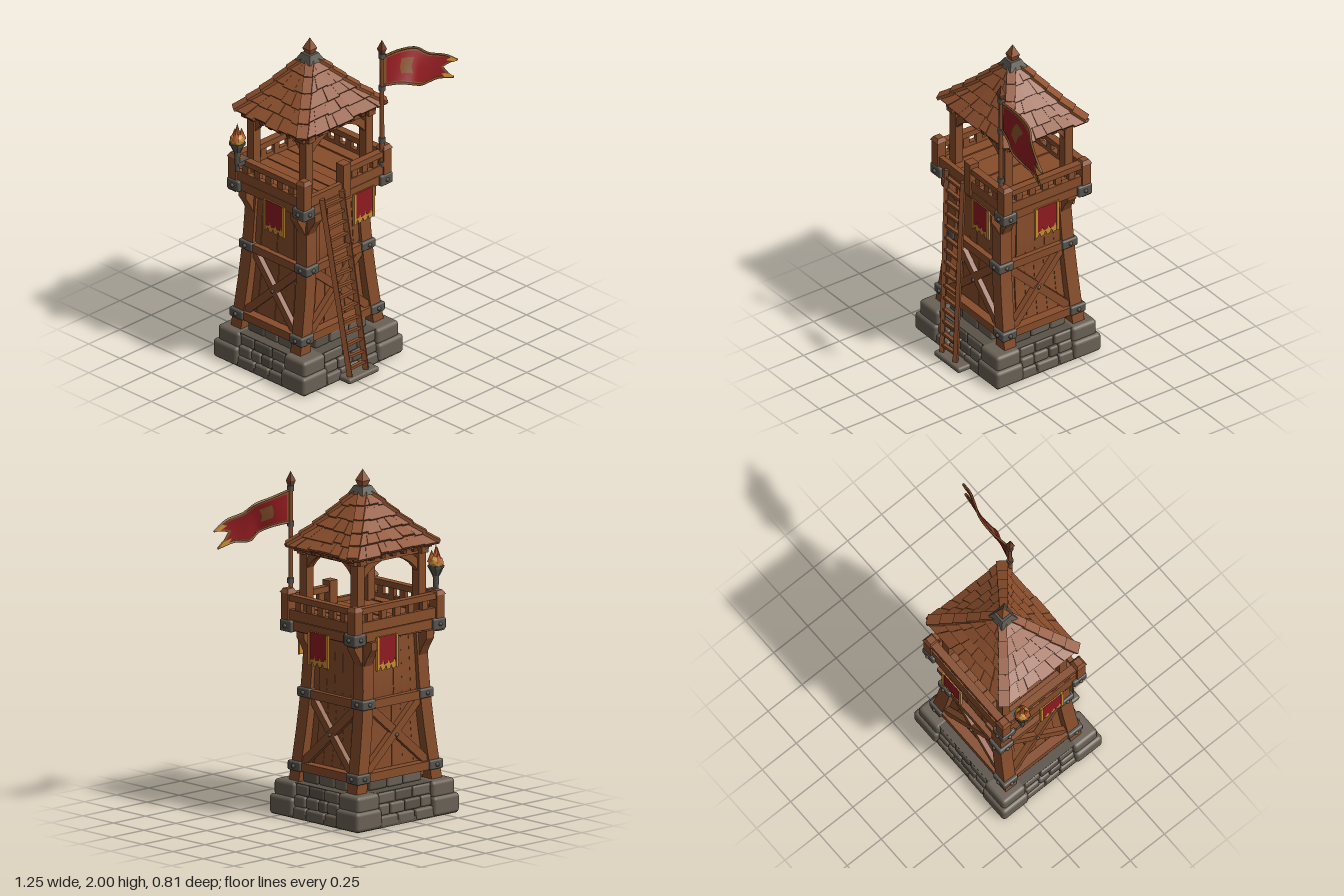
import * as THREE from 'three';
import { RoundedBoxGeometry } from 'three/addons/geometries/RoundedBoxGeometry.js';

const V = (x, y, z) => new THREE.Vector3(x, y, z);
const lerp = THREE.MathUtils.lerp;
const paint = (name, color, side = THREE.FrontSide) => {
  const m = new THREE.MeshStandardMaterial({ color, side });
  m.name = name;
  return m;
};

export function createModel() {
  const wood = paint('wood', 0x874d2b), darkWood = paint('dark wood', 0x6f3c21), roofWood = paint('roof wood', 0x8e502e);
  const stone = paint('stone', 0x6a6155), darkStone = paint('dark stone', 0x5a5248), iron = paint('iron', 0x57544d);
  const red = paint('red cloth', 0x8f1b20, THREE.DoubleSide), gold = paint('gold', 0xc88c34, THREE.DoubleSide);
  const trim = paint('cloth trim', 0x825029, THREE.DoubleSide), flame = paint('flame', 0xb45a2a);

  let seed = 7;
  const rnd = (a, b) => {
    seed = (seed * 16807) % 2147483647;
    return a + (b - a) * seed / 2147483647;
  };
  const root = new THREE.Group();
  root.name = 'watchtower';
  const group = (name, x = 0, y = 0, z = 0, parent = root) => {
    const g = new THREE.Group();
    g.name = name;
    g.position.set(x, y, z);
    parent.add(g);
    return g;
  };
  const add = (p, name, geo, mat, x = 0, y = 0, z = 0) => {
    const m = new THREE.Mesh(geo, mat);
    m.name = name;
    m.position.set(x, y, z);
    p.add(m);
    return m;
  };
  const box = (p, name, mat, w, h, d, x, y, z) => add(p, name, new THREE.BoxGeometry(w, h, d), mat, x, y, z);
  const block = (p, name, mat, w, h, d, x, y, z, r = 0.014) => add(p, name, new RoundedBoxGeometry(w, h, d, 2, r), mat, x, y, z);
  // Beam from a to b: wide is its horizontal breadth, deep the other one
  const beam = (p, name, mat, a, b, wide, deep) => {
    const dir = b.clone().sub(a), len = dir.length(), y = dir.normalize();
    const x = y.clone().cross(V(0, 1, 0)).normalize(), z = x.clone().cross(y);
    const m = box(p, name, mat, wide, len, deep, 0, 0, 0);
    m.quaternion.setFromRotationMatrix(new THREE.Matrix4().makeBasis(x, y, z));
    m.position.copy(a).add(b).multiplyScalar(0.5);
  };
  const warp = (geo, fn) => {
    const a = geo.attributes.position;
    for (let i = 0; i < a.count; i++) {
      const q = fn(a.getX(i), a.getY(i), a.getZ(i));
      a.setXYZ(i, q.x, q.y, q.z);
    }
    geo.computeVertexNormals();
    return geo;
  };
  const faceted = (geo) => {
    const g = geo.toNonIndexed();
    g.computeVertexNormals();
    return g;
  };
  // Four turned side groups: local x runs along the side, z points out (0 front, 1 +x, 2 back, 3 -x)
  const eachSide = (p, name, fn) => {
    for (let k = 0; k < 4; k++) {
      const g = group(name, 0, 0, 0, p);
      g.rotation.y = k * Math.PI / 2;
      fn(g, k, (a, b) => (k % 2 ? [b, a] : [a, b]));
    }
  };
  const corners = (fn) => [-1, 1].forEach((sx) => [-1, 1].forEach((sz) => fn(sx, sz)));
  const along = (keys, y) => {
    let i = 0;
    while (i < keys.length - 2 && y > keys[i + 1][0]) i++;
    const [a, b] = [keys[i], keys[i + 1]];
    return lerp(a[1], b[1], (y - a[0]) / (b[0] - a[0]));
  };

  // Stone base
  const base = group('stoneBase', -0.21, 0, -0.035);
  box(base, 'baseFoot', darkStone, 0.775, 0.03, 0.705, 0, 0.015, 0);
  box(base, 'baseCore', darkStone, 0.72, 0.2, 0.65, 0, 0.1, 0);
  corners((sx, sz) => {
    block(base, 'cornerStone', stone, 0.2, 0.115, 0.19, sx * 0.302, 0.0575, sz * 0.27, 0.022);
    block(base, 'cornerStone', stone, 0.175, 0.1, 0.17, sx * 0.293, 0.152, sz * 0.263, 0.022);
  });
  eachSide(base, 'baseWall', (g, k, pick) => {
    const [w, d] = pick(0.205, 0.18), out = pick(0.365, 0.4)[0];
    for (let r = 0; r < 4; r++) {
      const n = r === 3 ? 3 : 3 + (r % 2);
      let x = -w;
      for (let i = 0; i < n; i++) {
        const next = i === n - 1 ? w : -w + (2 * w * (i + 1)) / n + rnd(-0.02, 0.02);
        const bw = next - x, o = (r === 3 ? pick(0.26, 0.31)[0] : out - 0.01 - r * 0.01) + rnd(-0.004, 0.004);
        block(g, 'wallStone', (i + r) % 4 === 3 ? darkStone : stone, bw - 0.003, 0.066, 0.1, x + bw / 2, 0.033 + r * 0.066, o - 0.05);
        x = next;
      }
    }
  });
  block(root, 'stepStone', stone, 0.24, 0.035, 0.12, -0.2, 0.0175, 0.345);

  // Flared tower: planked walls, legs, braces and iron corner bands
  const tower = group('tower', -0.207, 0, -0.047);
  const hx = (y) => along([[0.2, 0.333], [0.45, 0.293], [0.7, 0.262], [1.06, 0.247]], y);
  const hz = (y) => along([[0.2, 0.278], [0.7, 0.258], [1.06, 0.24]], y);
  const recess = (y) => along([[0.2, 0.07], [0.66, 0.058], [0.72, 0.034], [1.06, 0.03]], y);
  corners((sx, sz) => add(tower, 'leg', warp(new THREE.BoxGeometry(1, 1, 1, 1, 6, 1), (u, v, w) => {
    const y = 0.635 + v * 0.88;
    return V(sx * (hx(y) - 0.04) + u * 0.08, y, sz * (hz(y) - 0.04) + w * 0.08);
  }), wood));
  add(tower, 'innerWall', warp(new THREE.BoxGeometry(1, 1, 1, 1, 6, 1), (u, v, w) => {
    const y = 0.635 + v * 0.88, r = recess(y) + 0.012;
    return V(2 * u * (hx(y) - r), y, 2 * w * (hz(y) - r));
  }), darkWood);
  eachSide(tower, 'towerSide', (g, k, pick) => {
    const [W, D] = pick(hx, hz);
    for (let i = 0; i < 6; i++) {
      const o = rnd(-0.004, 0.004);
      add(g, 'wallPlank', warp(new THREE.BoxGeometry(1, 1, 1, 1, 8, 1), (u, v, w) => {
        const y = 0.647 + v * 0.856;
        return V((-1 + (i + 0.5 + u * 0.975) / 3) * (W(y) - 0.06), y, D(y) - recess(y) + o + w * 0.024);
      }), wood);
    }
    for (const y of [0.285, 0.7]) box(g, 'crossBeam', wood, 2 * W(y) - 0.06, 0.05, 0.055, 0, y, D(y) - 0.024);
    for (const s of [-1, 1]) {
      beam(g, 'diagonalBrace', wood, V(-s * (W(0.3) - 0.08), 0.31, D(0.31) - 0.028), V(s * (W(0.7) - 0.07), 0.68, D(0.68) - 0.028), s > 0 ? 0.036 : 0.03, 0.048);
      // Knees flaring out under the platform
      const e = D(1), knee = new THREE.Shape([[e - 0.04, 0.9], [e, 0.92], [e + 0.03, 0.98], [e + 0.062, 1.03], [e + 0.062, 1.075], [e - 0.04, 1.075]].map(([a, b]) => new THREE.Vector2(a, b)));
      add(g, 'knee', new THREE.ExtrudeGeometry(knee, { depth: 0.06, bevelEnabled: false }).rotateY(-Math.PI / 2), wood, s * (W(1) - 0.035) + 0.03, 0, 0);
    }
    add(g, 'braceBolt', new THREE.SphereGeometry(0.012, 8, 6), iron, 0, 0.495, D(0.495) - 0.01);
  });
  const ironCorner = (p, x, y, z, sx, sz, s, h) => {
    const g = group('ironCorner', x, y, z, p);
    block(g, 'ironBand', iron, s, h, s, 0, 0, 0, 0.01);
    add(g, 'bolt', new THREE.SphereGeometry(0.013, 8, 6), iron, 0, 0, sz * s / 2);
    add(g, 'bolt', new THREE.SphereGeometry(0.013, 8, 6), iron, sx * s / 2, 0, 0);
  };
  corners((sx, sz) => {
    for (const y of [0.285, 0.705]) ironCorner(tower, sx * (hx(y) - 0.036), y, sz * (hz(y) - 0.036), sx, sz, 0.104, 0.056);
  });

  // Lookout platform with railing
  const top = group('lookout', -0.19, 0, -0.043);
  for (let i = 0; i < 8; i++) box(top, 'floorPlank', wood, 0.077, 0.105, 0.54, -0.28 + i * 0.08, 1.118 + rnd(-0.004, 0.004), 0);
  box(top, 'subfloor', darkWood, 0.62, 0.08, 0.53, 0, 1.115, 0);
  corners((sx, sz) => {
    const drop = sz < 0 ? 0.02 : 0;
    box(top, 'railPost', wood, 0.06, 0.21, 0.06, sx * 0.32, 1.185 - drop, sz * 0.274);
    add(top, 'postCap', faceted(new THREE.CylinderGeometry(0.03, 0.05, 0.025, 4).rotateY(Math.PI / 4)), wood, sx * 0.32, 1.3 - drop, sz * 0.274);
    ironCorner(top, sx * 0.31, 1.1, sz * 0.262, sx, sz, 0.096, 0.068);
    box(top, 'roofPost', wood, 0.055, 0.45, 0.055, sx * 0.24, 1.325, sz * 0.209);
  });
  eachSide(top, 'railing', (g, k, pick) => {
    const [w, d] = pick(0.32, 0.274);
    box(g, 'sideBoard', wood, 2 * w, 0.055, 0.035, 0, 1.105, d);
    box(g, 'sideBoard', wood, 2 * w, 0.06, 0.03, 0, 1.166, d + 0.004);
    const x0 = k === 0 ? -0.01 : -w;
    box(g, 'handRail', wood, w - x0, 0.035, 0.045, (w + x0) / 2, 1.263, d);
    const n = k === 0 ? 3 : 5;
    for (let i = 1; i <= n; i++) box(g, 'baluster', wood, 0.042, 0.07, 0.025, lerp(x0, w, i / (n + 1)), 1.215, d);
    if (k === 0) box(g, 'middlePost', wood, 0.06, 0.21, 0.06, -0.005, 1.205, d);

    // Roof beams and curved braces
    const [rw, rd] = pick(0.24, 0.209), reach = k % 2 ? 0.13 : 0.2;
    box(g, 'roofBeam', wood, 2 * rw + 0.1, 0.05, 0.05, 0, 1.54, rd);
    for (const s of [-1, 1]) {
      const a = new THREE.Shape();
      a.moveTo(-rw, 1.36);
      a.quadraticCurveTo(-rw + reach * 0.2, 1.48, -rw + reach, 1.52);
      a.lineTo(-rw + reach * 0.5, 1.53);
      a.quadraticCurveTo(-rw + reach * 0.15, 1.5, -rw, 1.44);
      const m = add(g, 'curvedBrace', new THREE.ExtrudeGeometry(a, { depth: 0.035, bevelEnabled: false, curveSegments: 6 }).translate(0, 0, -0.0175), wood, 0, 0, rd);
      if (s > 0) m.rotation.y = Math.PI;
    }
    for (let i = -3; i <= 3; i++) box(g, 'rafterEnd', darkWood, 0.03, 0.035, 0.12, (i * w) / 3.8, 1.553, pick(0.25, 0.31)[0] - 0.05);
  });

  // Shingled roof
  const slope = [[0, 1.556], [0.5, 1.694], [1, 1.86]];
  const rx = (t) => lerp(0.333, 0.03, t), rz = (t) => lerp(0.268, 0.03, t), ry = (t) => along(slope, t);
  const roof = group('roof', -0.184, 0, -0.049);
  add(roof, 'roofCore', warp(new THREE.BoxGeometry(1, 1, 1, 1, 8, 1), (u, v, w) => {
    const t = v + 0.5;
    return V(2 * u * (rx(t) - 0.012), ry(t) - 0.004, 2 * w * (rz(t) - 0.012));
  }), darkWood);
  eachSide(roof, 'roofSide', (g, k, pick) => {
    const [W, D] = pick(rx, rz);
    const rows = 5;
    for (let r = 0; r < rows; r++) {
      const n = Math.max(2, 7 - r - (k % 2));
      const cuts = [...Array(n + 1).keys()].map((i) => (i % n === 0 ? (i ? 1 : -1) : -1 + (2 * i) / n + rnd(-0.06, 0.06)));
      for (let i = 0; i < n; i++) {
        const low = r / rows + rnd(-0.03, 0.015), high = Math.min(1, (r + 1) / rows + 0.05), lift = rnd(0.01, 0.018);
        add(g, 'shingle', warp(new THREE.BoxGeometry(1, 1, 1), (u, v, w) => {
          const t = lerp(low, high, v + 0.5), off = lift * (0.5 - v) + w * 0.02;
          return V(lerp(cuts[i] + 0.004, cuts[i + 1] - 0.004, u + 0.5) * W(t), ry(t) + off * 0.75, D(t) + off * 0.6);
        }), roofWood);
      }
    }
  });
  corners((sx, sz) => {
    for (let i = 0; i < 5; i++) {
      const a = i / 5 - 0.02, b = Math.min(1, a + 0.25), at = (t, o) => V(sx * rx(t), ry(t) + o, sz * rz(t));
      beam(roof, 'hipBoard', roofWood, at(a, 0.024), at(b, 0.01), 0.066 - i * 0.004, 0.018);
    }
  });
  add(roof, 'roofCap', faceted(new THREE.CylinderGeometry(0.05, 0.084, 0.046, 4).rotateY(Math.PI / 4)), iron, 0, 1.882, 0);
  const spike = (p, name, r, h, mat, x, y, z) => add(p, name, faceted(new THREE.LatheGeometry(
    [[0, 0], [r * 0.6, 0], [r, h * 0.35], [0, h]].map(([a, b]) => new THREE.Vector2(a, b)), 4).rotateY(Math.PI / 4)), mat, x, y, z);
  spike(roof, 'finial', 0.042, 0.1, roofWood, 0, 1.9, 0);

  // Ladder
  const ladder = group('ladder');
  const foot = [V(-0.285, 0.035, 0.37), V(-0.155, 0.035, 0.37)], head = [V(-0.395, 1.16, 0.258), V(-0.237, 1.16, 0.258)];
  for (const i of [0, 1]) beam(ladder, 'ladderRail', wood, foot[i], head[i], 0.026, 0.03);
  for (let i = 0; i < 15; i++) {
    const [a, b] = [0, 1].map((j) => foot[j].clone().lerp(head[j], (i + 0.6) / 15.2));
    b.y += rnd(-0.006, 0.006);
    beam(ladder, 'rung', wood, a, b, 0.022, 0.016);
  }

  // Hanging banners, one on each side
  const cloth = (w, y1, y0, teeth) => {
    const s = new THREE.Shape();
    s.moveTo(-w, y1);
    for (let i = 0; i < teeth; i++) {
      const x = -w + (2 * w * i) / teeth, q = (2 * w) / teeth;
      s.lineTo(x, y0);
      s.lineTo(x + q * 0.55, y0 + 0.005);
      s.lineTo(x + q * 0.75, y0 + 0.028);
    }
    s.lineTo(w, y0);
    s.lineTo(w, y1);
    return s;
  };
  const plate = (s, t) => new THREE.ExtrudeGeometry(s, { depth: t, bevelEnabled: false }).translate(0, 0, -t / 2);
  eachSide(top, 'banner', (g, k, pick) => {
    const x = [0.128, 0, -0.1, 0.06][k], z = pick(0.304, 0.344)[0];
    add(g, 'bannerTrim', plate(cloth(0.083, 1.1, 0.9, 4), 0.005), gold, x, 0, z);
    add(g, 'bannerCloth', plate(cloth(0.066, 1.098, 0.935, 3), 0.009), red, x, 0, z);
    for (const s of [-1, 1]) box(g, 'bannerHem', gold, 0.016, 0.19, 0.014, x + s * 0.075, 1.0, z);
  });

  // Flagpole and waving swallow-tailed flag
  const flag = group('flag');
  add(flag, 'pole', new THREE.CylinderGeometry(0.012, 0.014, 0.74, 8), wood, 0.103, 1.55, 0.24);
  for (const y of [1.2, 1.35, 1.68, 1.885]) add(flag, 'poleRing', new THREE.CylinderGeometry(0.02, 0.02, 0.03, 8), iron, 0.103, y, 0.24);
  spike(flag, 'poleTip', 0.028, 0.085, darkWood, 0.103, 1.9, 0.24);
  const upper = new THREE.CatmullRomCurve3([V(0.118, 1.875, 0.24), V(0.27, 1.857, 0.225), V(0.38, 1.835, 0.24), V(0.44, 1.79, 0.27), V(0.54, 1.755, 0.31), V(0.62, 1.7, 0.325)]);
  const lower = new THREE.CatmullRomCurve3([V(0.118, 1.69, 0.24), V(0.22, 1.678, 0.27), V(0.3, 1.652, 0.3), V(0.38, 1.617, 0.285), V(0.485, 1.625, 0.3), V(0.595, 1.6, 0.32)]);
  const patch = (name, mat, u0, u1, v0, v1, o) => add(flag, name, warp(new THREE.PlaneGeometry(1, 1, 20, 8), (x, y) => {
    const v = lerp(v0, v1, 0.5 - y), notch = 0.17 * (1 - Math.abs(2 * v - 1));
    const u = lerp(u0, u1, x + 0.5) * (1 - notch);
    return upper.getPoint(u).lerp(lower.getPoint(u), v).add(V(0, 0, o));
  }), mat);
  patch('flagTrim', trim, 0, 1, 0, 1, 0);
  for (const c of [upper, lower]) add(flag, 'flagHem', new THREE.TubeGeometry(c, 24, 0.007, 5), trim);
  for (const o of [-1, 1]) {
    patch('flagCloth', red, 0.03, 0.95, 0.08, 0.92, o * 0.004);
    patch('flagPatch', trim, 0.22, 0.4, 0.25, 0.7, o * 0.007);
    patch('flagTip', gold, 0.88, 1, 0, 0.2, o * 0.007);
    patch('flagTip', gold, 0.88, 1, 0.8, 1, o * 0.007);
  }

  // Torch on the -x side
  const torch = group('torch', -0.578, 0, -0.235);
  add(torch, 'handle', new THREE.CylinderGeometry(0.02, 0.012, 0.15, 8), iron, 0, 1.3, 0);
  box(torch, 'bracket', iron, 0.09, 0.025, 0.03, 0.04, 1.27, 0);
  add(torch, 'bowl', faceted(new THREE.CylinderGeometry(0.045, 0.022, 0.05, 8)), iron, 0, 1.375, 0);
  add(torch, 'bowlRim', faceted(new THREE.CylinderGeometry(0.048, 0.046, 0.016, 8)), iron, 0, 1.402, 0);
  add(torch, 'ember', faceted(new THREE.IcosahedronGeometry(0.044, 1)), gold, 0, 1.425, 0);
  [[0, 0, 0.1], [0.02, 0.014, 0.07], [-0.02, 0.01, 0.08], [0.003, -0.022, 0.06]].forEach(([x, z, h]) =>
    add(torch, 'flameTongue', new THREE.ConeGeometry(0.027, h, 6), flame, x, 1.43 + h / 2, z));
  return root;
}
